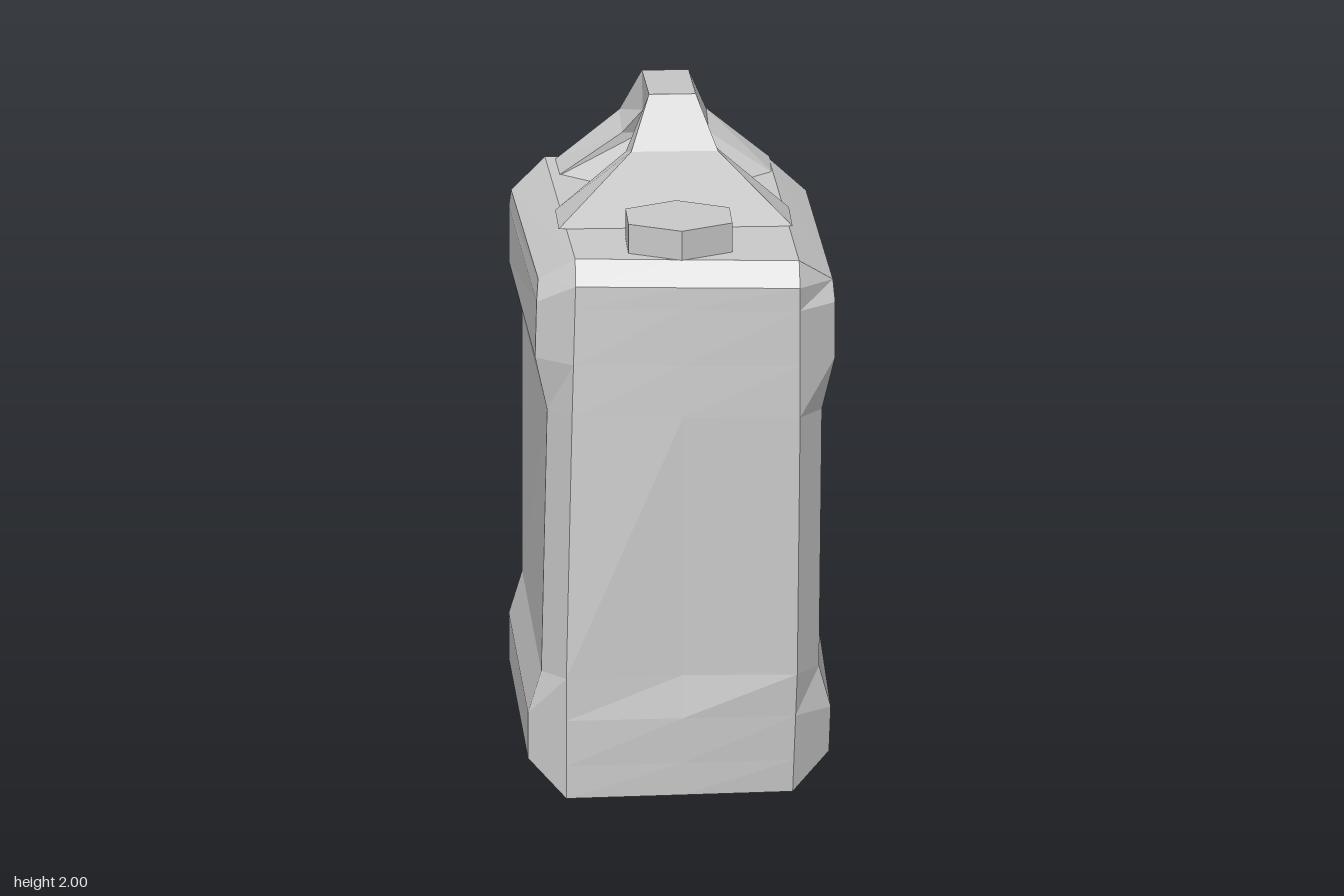
import * as THREE from 'three';

const material = new THREE.MeshStandardMaterial({ color: 0xcccccc, flatShading: true });

// Skin a list of closed rings (equal point counts), optionally closing both ends
function loft(rings, capped) {
  const pos = [];
  const tri = (a, b, c) => pos.push(...a, ...b, ...c);
  const n = rings[0].length;
  for (let r = 0; r < rings.length - 1; r++) {
    for (let i = 0; i < n; i++) {
      const j = (i + 1) % n;
      tri(rings[r][i], rings[r][j], rings[r + 1][j]);
      tri(rings[r][i], rings[r + 1][j], rings[r + 1][i]);
    }
  }
  if (capped) {
    const first = rings[0], last = rings[rings.length - 1];
    for (let i = 1; i < n - 1; i++) {
      tri(first[0], first[i + 1], first[i]);
      tri(last[0], last[i], last[i + 1]);
    }
  }
  const geometry = new THREE.BufferGeometry();
  geometry.setAttribute('position', new THREE.Float32BufferAttribute(pos, 3));
  geometry.computeVertexNormals();
  return geometry;
}

function part(name, geometry) {
  const mesh = new THREE.Mesh(geometry, material);
  mesh.name = name;
  return mesh;
}

// Slight dents of the worn corners
function worn(x, y, z) {
  if (x * z < 0) { // two opposite corners lean inward toward the top
    const t = Math.max(0, (y - 0.5) / 1.07);
    return [x - Math.sign(x) * 0.03 * t, y, z - Math.sign(z) * 0.05 * t];
  }
  if (x > 0 && z > 0) { // one front corner is pushed in at the foot
    const t = Math.max(0, (0.6 - y) / 0.6);
    return [x - 0.02 * t, y, z - 0.05 * t];
  }
  return [x, y, z];
}

// Canister body: chamfered rectangle rings with a waist between two bands
function bodyGeometry() {
  // [edge y, edge x, edge z, side y, side x, side z, face dent]
  const levels = [
    [0, 0.35, 0.68, 0, 0.35, 0.68, 0],
    [0.1, 0.35, 0.68, 0.1, 0.46, 0.58, 0],
    [0.24, 0.35, 0.68, 0.24, 0.46, 0.58, 0],
    [0.37, 0.35, 0.68, 0.37, 0.42, 0.58, 0.02],
    [1.17, 0.35, 0.68, 1.17, 0.42, 0.58, 0],
    [1.33, 0.35, 0.68, 1.33, 0.46, 0.58, 0],
    [1.5, 0.35, 0.68, 1.5, 0.46, 0.58, 0],
    [1.57, 0.35, 0.68, 1.56, 0.455, 0.54, 0],
    [1.64, 0.35, 0.62, 1.64, 0.35, 0.62, 0],
  ];
  const rings = levels.map(([ey, ex, ez, sy, sx, sz, dent]) => {
    const edge = (a, b) => worn(a * ex, ey, b * ez);
    const side = (a, b) => worn(a * sx, sy, b * sz);
    const middle = (b) => [0, ey, (edge(1, b)[2] + edge(-1, b)[2]) / 2 - b * dent];
    return [
      middle(1), edge(1, 1), side(1, 1), side(1, -1), edge(1, -1),
      middle(-1), edge(-1, -1), side(-1, -1), side(-1, 1), edge(-1, 1),
    ];
  });
  return loft(rings, true);
}

// Handle: an arch of sections, flaring into wide feet at both ends
function handleGeometry() {
  // outer [x, y, z], inner corner [x, y, z], inner middle [x, z]
  const sections = [
    [[0.32, 1.64, -0.59], [0.33, 1.63, -0.41], [0.2, -0.28]],
    [[0.13, 1.8, -0.56], [0.13, 1.77, -0.4], [0.07, -0.4]],
    [[0.07, 1.96, -0.41], [0.07, 1.85, -0.36], [0.035, -0.36]],
    [[0.07, 2, 0.02], [0.07, 1.89, -0.01], [0.035, -0.01]],
    [[0.13, 1.86, 0.16], [0.14, 1.83, 0.04], [0.07, 0.04]],
    [[0.35, 1.64, 0.22], [0.35, 1.64, 0], [0.17, 0]],
  ];
  const rings = sections.map(([[ox, oy, oz], [ix, iy, iz], [mx, mz]]) => [
    [ox, oy, oz], [-ox, oy, oz], [-ix, iy, iz],
    [-mx, iy, mz], [mx, iy, mz], [ix, iy, iz],
  ]);
  return loft(rings, false);
}

export function createModel() {
  const model = new THREE.Group();
  model.name = 'canister';
  model.add(part('body', bodyGeometry()));
  model.add(part('handle', handleGeometry()));

  // Hexagonal screw cap
  const cap = part('cap', new THREE.CylinderGeometry(0.18, 0.18, 0.09, 6));
  cap.position.set(0, 1.685, 0.42);
  model.add(cap);
  return model;
}
